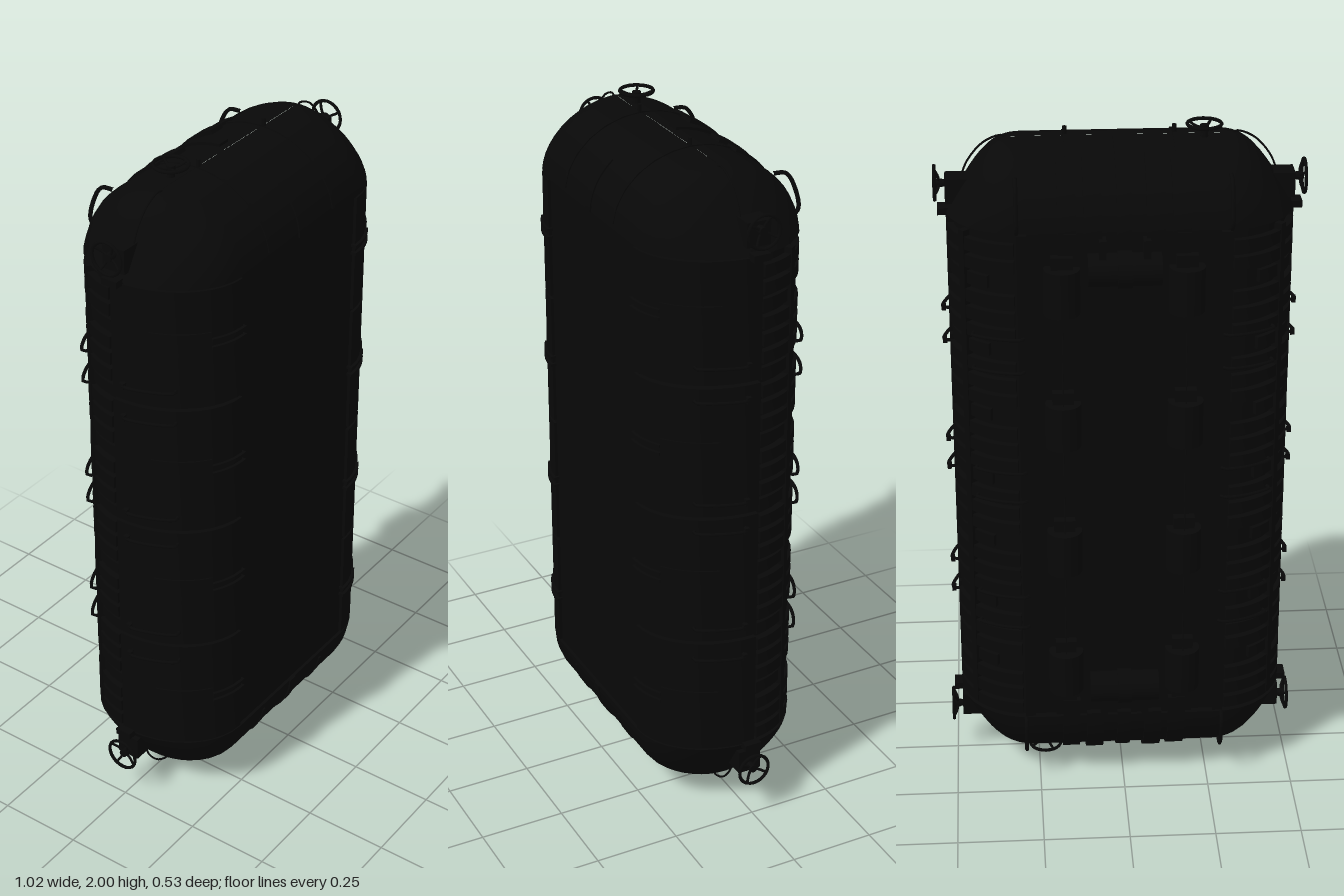
import * as THREE from 'three';
import { toCreasedNormals } from 'three/addons/utils/BufferGeometryUtils.js';

const CX = 0.27, RX = 0.21, RF = 0.26, RB = 0.21; // centres and radii of the rounded flanks
const black = new THREE.MeshStandardMaterial({ color: 0x080808 });
black.name = 'matt black';

// Point on the flank outline, angle a in radians (+ front, - back), offset d outward
const flank = (side, a, d = 0) => [
  side * (CX + (RX + d) * Math.cos(a)),
  ((a > 0 ? RF : RB) + d) * Math.sin(a),
];
const rad = THREE.MathUtils.degToRad;

function add(parent, name, geo, x = 0, y = 0, z = 0) {
  const m = new THREE.Mesh(geo, black);
  m.name = name;
  m.position.set(x, y, z);
  parent.add(m);
  return m;
}
const box = (parent, name, w, h, d, x, y, z) =>
  add(parent, name, new THREE.BoxGeometry(w, h, d), x, y, z);

// Hull lofted through outlines: round caps in depth, chamfered in width, recessed flanks
function hullGeometry() {
  const rings = [], N = 16, steps = 12, pos = [], idx = [];
  const ring = (y, sx, sz, d) => {
    const pts = [];
    for (const side of [1, -1]) {
      for (let i = 0; i <= N; i++) {
        const k = side > 0 ? i : N - i;
        const [x, z] = flank(side, Math.PI / 2 - (k / N) * Math.PI, d);
        pts.push([side * CX + (x - side * CX) * sx, y, 0.025 + (z - 0.025) * sz]);
      }
    }
    rings.push(pts);
  };
  const capRing = (u, top) => {
    const t = u * Math.PI / 2, rise = 0.765 + 0.195 * Math.sin(t);
    ring(top ? 1 + rise : 1 - rise, 1 - 0.85 * u, Math.max(Math.cos(t), 0.002), 0);
  };
  for (let i = steps; i >= 0; i--) capRing(i / steps, false);
  ring(0.236, 1, 1, -0.02);
  ring(1.764, 1, 1, -0.02);
  for (let i = 0; i <= steps; i++) capRing(i / steps, true);
  const n = rings[0].length;
  rings.forEach((r) => r.forEach((p) => pos.push(...p)));
  for (let j = 0; j < rings.length - 1; j++) {
    for (let i = 0; i < n; i++) {
      const a = j * n + i, b = j * n + (i + 1) % n;
      idx.push(a, b, b + n, a, b + n, a + n);
    }
  }
  const g = new THREE.BufferGeometry();
  g.setAttribute('position', new THREE.Float32BufferAttribute(pos, 3));
  g.setIndex(idx);
  return toCreasedNormals(g, rad(35));
}

// Curved strip wrapped round a flank between two angles (degrees)
function band(side, a0, a1, d0, d1, height) {
  const n = 10, outer = [], inner = [];
  for (let i = 0; i <= n; i++) {
    const a = rad(a0 + (a1 - a0) * i / n);
    const [x, z] = flank(side, a, d1), [u, w] = flank(side, a, d0);
    outer.push(new THREE.Vector2(x, -z));
    inner.unshift(new THREE.Vector2(u, -w));
  }
  const g = new THREE.ExtrudeGeometry(new THREE.Shape([...outer, ...inner]),
    { depth: height, bevelEnabled: false });
  return toCreasedNormals(g.rotateX(-Math.PI / 2), rad(30));
}

const tube = (pts, r) => new THREE.TubeGeometry(
  new THREE.CatmullRomCurve3(pts.map((p) => new THREE.Vector3(...p))), 14, r, 6);

// Grab bar standing off the flank
function grabBar(parent, side, y, a0, a1, off) {
  const pts = [[a0, -0.01], [a0, off], [(a0 + a1) / 2, off], [a1, off * 0.6], [a1, -0.01]]
    .map(([a, d]) => { const [x, z] = flank(side, rad(a), d); return [x, y, z]; });
  add(parent, 'grabBar', tube(pts, 0.005));
}

// Valve handwheel with its axis along +y
function handwheel() {
  const g = new THREE.Group();
  g.name = 'handwheel';
  add(g, 'wheelRim', new THREE.TorusGeometry(0.047, 0.005, 6, 24).rotateX(Math.PI / 2));
  add(g, 'wheelHub', new THREE.CylinderGeometry(0.012, 0.012, 0.02, 12), 0, -0.012, 0);
  add(g, 'wheelStem', new THREE.CylinderGeometry(0.009, 0.014, 0.06, 12), 0, -0.04, 0);
  for (let i = 0; i < 4; i++) {
    const a = i * Math.PI / 2 + 0.5;
    const c = Math.cos(a), s = Math.sin(a);
    add(g, 'wheelSpoke', tube([[0, -0.012, 0], [0.022 * c, -0.01, 0.022 * s],
      [0.047 * c, 0, 0.047 * s]], 0.004));
  }
  return g;
}

// Raised strip following the domed cap, angle from the rear over the top
function capStrip(width, t0, t1, lift) {
  const outer = [], inner = [];
  for (let i = 0; i <= 12; i++) {
    const t = rad(t0 + (t1 - t0) * i / 12), c = Math.cos(t), s = Math.sin(t);
    outer.push(new THREE.Vector2(-0.025 + (0.235 + lift) * c, 1.765 + (0.195 + lift) * s));
    inner.unshift(new THREE.Vector2(-0.025 + 0.225 * c, 1.765 + 0.185 * s));
  }
  const g = new THREE.ExtrudeGeometry(new THREE.Shape([...outer, ...inner]),
    { depth: width, bevelEnabled: false });
  return toCreasedNormals(g.translate(0, 0, -width / 2).rotateY(Math.PI / 2), rad(30));
}

// Everything on one domed end
function endFittings() {
  const g = new THREE.Group();
  g.name = 'endFittings';
  const top = handwheel();
  top.position.set(-0.23, 1.994, 0);
  g.add(top);
  for (const s of [1, -1]) {
    const w = handwheel();
    w.position.set(s * 0.508, 1.84, 0);
    w.rotation.z = -s * Math.PI / 2;
    g.add(w);
    box(g, 'valveBlock', 0.08, 0.07, 0.07, s * 0.44, 1.825, 0);
    add(g, 'capRail', tube([[s * 0.29, 1.765, -0.205], [s * 0.29, 1.785, -0.226],
      [s * 0.29, 1.85, -0.213], [s * 0.29, 1.895, -0.185], [s * 0.29, 1.9, -0.145]], 0.006));
    add(g, 'chamferRail', tube([[s * 0.3, 1.95, 0.03], [s * 0.32, 1.963, 0.03],
      [s * 0.37, 1.945, 0.03], [s * 0.415, 1.895, 0.03], [s * 0.435, 1.85, 0.03]], 0.003));
    add(g, 'capStrip', capStrip(0.05, -4, 60, 0.008), s * 0.155);
    add(g, 'capStrip', capStrip(0.05, -4, 64, 0.012), s * 0.085);
    add(g, 'capSeam', capStrip(0.01, 5, 175, 0.004), s * 0.15);
    box(g, 'stripFoot', 0.05, 0.06, 0.03, s * 0.155, 1.735, -0.205);
    box(g, 'barrelBracket', 0.02, 0.1, 0.05, s * 0.06, 1.7, -0.215);
    box(g, 'sideBracket', 0.035, 0.02, 0.05, s * 0.485, 1.765, 0);
    add(g, 'topPin', new THREE.CylinderGeometry(0.006, 0.006, 0.04, 8), s * 0.15, 1.965, 0.03);
  }
  add(g, 'centreStrip', capStrip(0.04, -4, 85, 0.008));
  add(g, 'rearBarrel', new THREE.CylinderGeometry(0.046, 0.046, 0.2, 24).rotateZ(Math.PI / 2),
    0, 1.66, -0.214);
  add(g, 'barrelCollar', new THREE.CylinderGeometry(0.052, 0.052, 0.04, 24).rotateZ(Math.PI / 2),
    0, 1.66, -0.214);
  add(g, 'frontClip', capStrip(0.03, 135, 180, 0.004));
  return g;
}

export function createModel() {
  const model = new THREE.Group();
  model.name = 'container';
  add(model, 'hull', hullGeometry());

  // Flat front door and rear panel
  box(model, 'frontDoor', 0.57, 1.53, 0.03, 0, 1, 0.236);
  box(model, 'rearPanel', 0.4, 1.53, 0.02, 0, 1, -0.19);

  for (const side of [1, -1]) {
    const flankGroup = new THREE.Group();
    flankGroup.name = side > 0 ? 'leftFlank' : 'rightFlank';
    model.add(flankGroup);

    // Four stacked shell panels with gaps between them
    for (let i = 0; i < 4; i++) {
      const y0 = i === 0 ? 0.24 : 0.205 + i * 0.4;
      const y1 = i === 3 ? 1.76 : 0.595 + i * 0.4;
      const mid = 0.4 + i * 0.4;
      add(flankGroup, 'shellPanel', band(side, -4, 90, -0.03, 0, y1 - y0), 0, y0);
      add(flankGroup, 'raisedPlate', band(side, 22, 62, -0.01, 0.004, 0.07), 0, mid - 0.035);
      for (const dy of [-0.012, 0.012]) {
        add(flankGroup, 'doorClasp', band(side, 62, 92, -0.01, 0.008, 0.008), 0, mid + dy - 0.004);
      }
      // Rear latch barrels
      box(flankGroup, 'latchBase', 0.06, 0.2, 0.03, side * 0.17, mid, -0.21);
      add(flankGroup, 'latchBarrel', new THREE.CylinderGeometry(0.05, 0.05, 0.13, 20),
        side * 0.17, mid, -0.211);
    }

    // Stacked ribs on the rear curve
    for (let i = 0; i < 30; i++) {
      const long = i % 4 !== 3;
      add(flankGroup, 'rearRib', band(side, -6, long ? -82 : -60, -0.03, long ? 0 : -0.007, 0.036),
        0, 0.247 + i * 0.05);
    }
    add(flankGroup, 'ribStrap', band(side, -34, -40, -0.03, 0.002, 1.5), 0, 0.25);
    add(flankGroup, 'ribEdge', band(side, -84, -92, -0.03, 0, 1.52), 0, 0.24);

    // Grab bars at each panel joint
    for (const y of [0.55, 0.65, 0.96, 1.05, 1.36, 1.46]) {
      grabBar(flankGroup, side, y, 6, 38, 0.018);
      grabBar(flankGroup, side, y, -48, -88, 0.012);
      box(flankGroup, 'barStop', 0.012, 0.018, 0.014, side * 0.495, y, 0.03);
    }
    add(flankGroup, 'rearCable', new THREE.CylinderGeometry(0.002, 0.002, 1.3, 6),
      side * 0.17, 1, -0.235);
  }

  // Identical fittings on both ends, the lower set turned half round
  model.add(endFittings());
  const lower = endFittings();
  lower.rotation.z = Math.PI;
  lower.position.y = 2;
  model.add(lower);
  return model;
}
